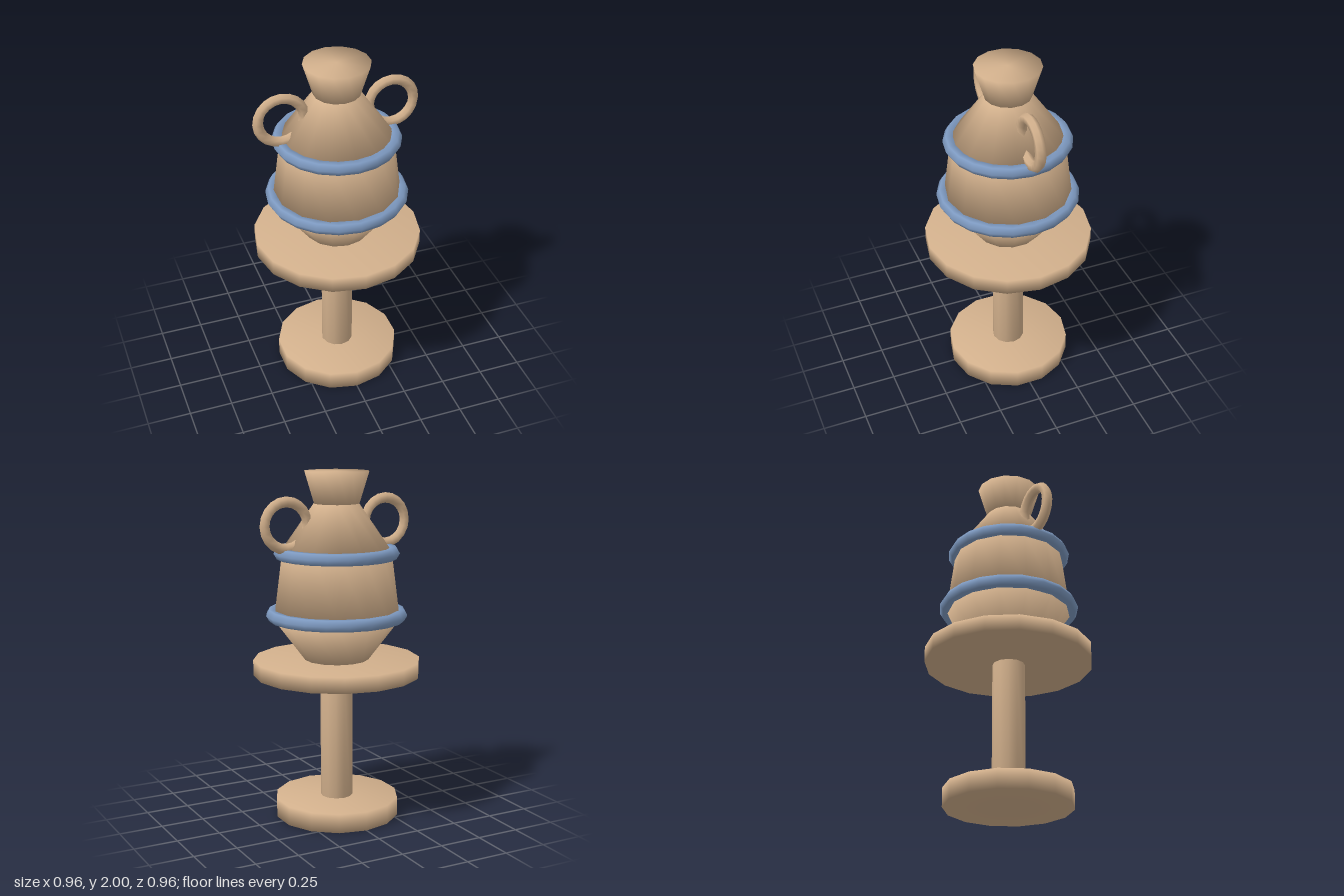
import * as THREE from 'three';

export function createModel() {
  const group = new THREE.Group();
  const clay = new THREE.MeshStandardMaterial({ color: 0xd2b08c });
  clay.name = 'tan clay';
  const glaze = new THREE.MeshStandardMaterial({ color: 0x7d99c0 });
  glaze.name = 'blue glaze';

  const add = (name, geometry, material) => {
    const mesh = new THREE.Mesh(geometry, material);
    mesh.name = name;
    group.add(mesh);
    return mesh;
  };

  // Closed, softly shaded frustum between two heights
  const turned = (name, r0, y0, r1, y1, sides) => {
    const profile = [[0, y0], [r0, y0], [r1, y1], [0, y1]].map(([x, y]) => new THREE.Vector2(x, y));
    return add(name, new THREE.LatheGeometry(profile, sides), clay);
  };

  // Pedestal
  turned('pedestalBase', 0.36, 0, 0.36, 0.11, 14);
  turned('pedestalColumn', 0.093, 0.11, 0.093, 0.84, 12);
  turned('pedestalPlate', 0.48, 0.84, 0.48, 0.93, 16);

  // Vase
  turned('vaseFoot', 0.185, 0.93, 0.372, 1.18, 14);
  turned('vaseBelly', 0.363, 1.18, 0.315, 1.55, 14);
  turned('vaseShoulder', 0.32, 1.55, 0.13, 1.82, 14);
  turned('vaseNeck', 0.13, 1.82, 0.185, 2, 14);

  // Glazed bands around the belly
  for (const [name, radius, y] of [['lowerBand', 0.368, 1.19], ['upperBand', 0.322, 1.543]]) {
    const band = add(name, new THREE.TorusGeometry(radius, 0.037, 6, 20), glaze);
    band.rotation.x = Math.PI / 2;
    band.position.y = y;
  }

  // Ring handles, sunk into the shoulder
  for (const side of [-1, 1]) {
    const handle = add(side > 0 ? 'leftHandle' : 'rightHandle', new THREE.TorusGeometry(0.13, 0.03, 6, 20), clay);
    handle.position.set(side * 0.315, 1.71, 0);
  }

  return group;
}
